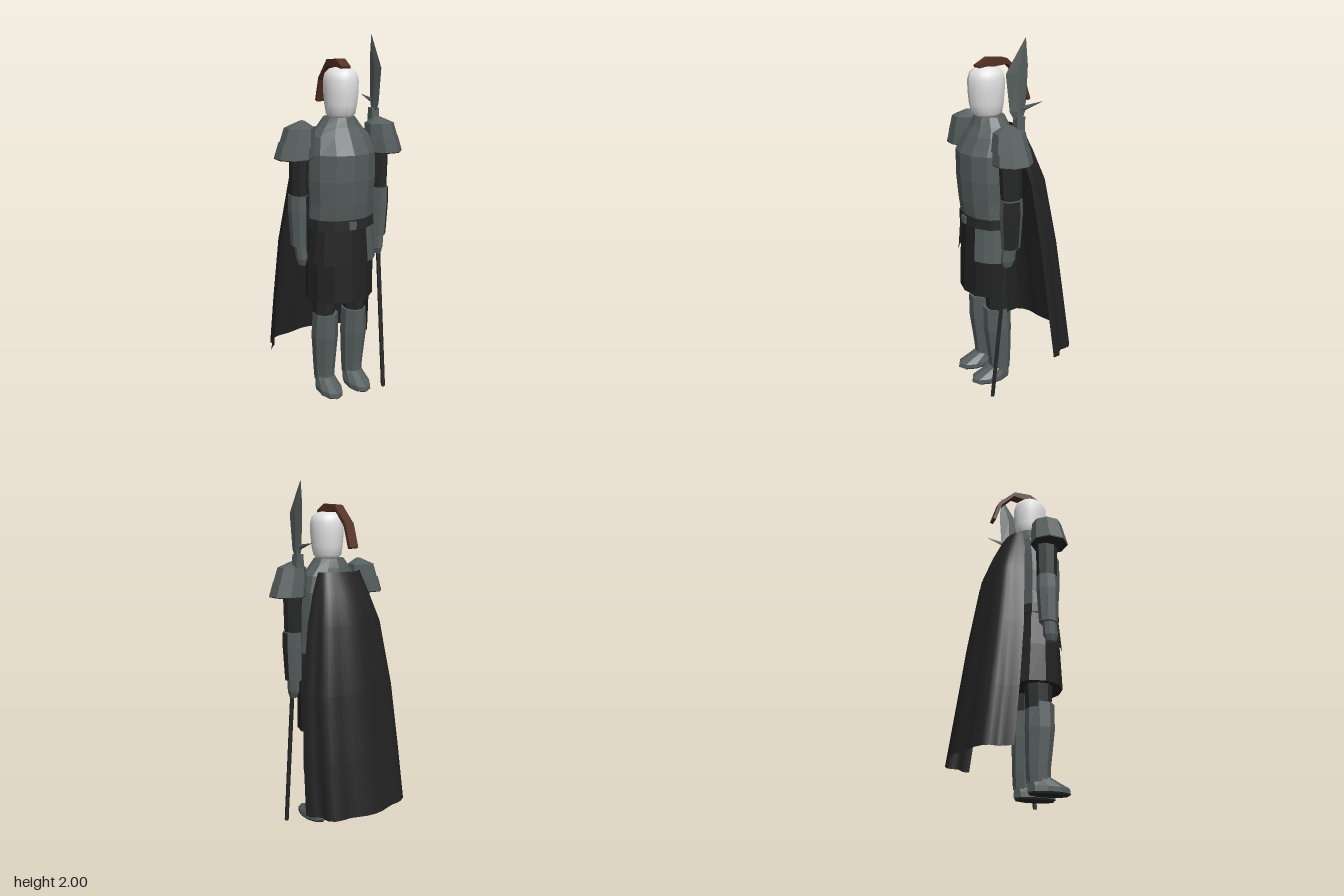
import * as THREE from 'three';

const mat = (name, color, side = THREE.FrontSide) => {
  const m = new THREE.MeshStandardMaterial({ color, side });
  m.name = name;
  return m;
};

// Lofted elliptical rings, listed bottom to top as [y, cx, cz, rx, rz]
function loft(rings, n = 8, { smooth = false, turn = 0, from = 0, to = Math.PI * 2, caps = true } = {}) {
  const pos = [], idx = [];
  for (const [y, cx, cz, rx, rz] of rings) {
    for (let i = 0; i <= n; i++) {
      const a = turn + from + ((to - from) * i) / n;
      pos.push(cx + rx * Math.sin(a), y, cz + rz * Math.cos(a));
    }
  }
  const w = n + 1;
  for (let r = 0; r < rings.length - 1; r++) {
    for (let i = 0; i < n; i++) {
      const a = r * w + i, b = a + 1, c = b + w, d = a + w;
      idx.push(a, b, c, a, c, d);
    }
  }
  if (caps) {
    const last = (rings.length - 1) * w;
    const [b, t] = [rings[0], rings[rings.length - 1]];
    const k = pos.length / 3;
    pos.push(b[1], b[0], b[2], t[1], t[0], t[2]);
    for (let i = 0; i < n; i++) idx.push(k, i + 1, i, k + 1, last + i, last + i + 1);
  }
  let g = new THREE.BufferGeometry();
  g.setAttribute('position', new THREE.Float32BufferAttribute(pos, 3));
  g.setIndex(idx);
  if (!smooth) g = g.toNonIndexed();
  g.computeVertexNormals();
  return g;
}

export function createModel() {
  const root = new THREE.Group();
  const steel = mat('steel', 0x555d5d);
  const dark = mat('dark leather', 0x262727);
  const cloth = mat('black cloth', 0x222222, THREE.DoubleSide);
  const plate = mat('hip plate steel', 0x555d5d, THREE.DoubleSide);
  const pale = mat('pale helm', 0xe2e2e2);
  const brown = mat('brown crest', 0x542f23);

  const add = (name, geo, m, parent = root) => {
    const mesh = new THREE.Mesh(geo, m);
    mesh.name = name;
    parent.add(mesh);
    return mesh;
  };

  // Body armour, from waist to collar
  add('breastplate', loft([
    [1.03, 0, 0.15, 0.185, 0.135], [1.13, 0, 0.155, 0.182, 0.145],
    [1.26, 0, 0.16, 0.19, 0.15], [1.4, 0, 0.157, 0.187, 0.153],
    [1.49, 0, 0.14, 0.165, 0.12], [1.535, 0, 0.13, 0.125, 0.1],
    [1.585, 0, 0.13, 0.085, 0.08],
  ], 12), steel);
  add('neck', loft([[1.56, 0, 0.14, 0.06, 0.06], [1.63, 0, 0.14, 0.06, 0.06]], 10), dark);

  // Skirt, belt and hip plates
  add('skirt', loft([
    [0.59, 0, 0.135, 0.195, 0.17], [0.8, 0, 0.14, 0.195, 0.155], [1.02, 0, 0.145, 0.18, 0.137],
  ], 12), cloth);
  add('belt', loft([[0.995, 0, 0.147, 0.195, 0.148], [1.05, 0, 0.147, 0.193, 0.146]], 12), dark);
  const buckle = add('buckle', new THREE.BoxGeometry(0.04, 0.042, 0.012), steel);
  buckle.position.set(0, 1.022, 0.296);
  for (const s of [-1, 1]) {
    const mid = s * 0.98;
    add(s > 0 ? 'leftHipPlate' : 'rightHipPlate', loft([
      [0.805, 0, 0.14, 0.208, 0.167], [0.995, 0, 0.145, 0.19, 0.147],
    ], 3, { from: mid - 0.48, to: mid + 0.48, caps: false }), s > 0 ? plate : cloth);
  }

  // Head: smooth domed helm
  add('head', loft([
    [1.585, 0, 0.145, 0.06, 0.065], [1.6, 0, 0.145, 0.077, 0.083],
    [1.65, 0, 0.147, 0.085, 0.094], [1.72, 0, 0.147, 0.092, 0.1],
    [1.775, 0, 0.147, 0.093, 0.1], [1.81, 0, 0.147, 0.084, 0.09],
    [1.832, 0, 0.147, 0.06, 0.065], [1.842, 0, 0.147, 0.02, 0.022],
  ], 20, { smooth: true }), pale);

  // Crest: bent strip over the helm and down behind, drawn in (z, y)
  const crest = new THREE.Shape([
    [0.19, 1.815], [0.205, 1.845], [0.14, 1.882], [0.035, 1.875], [-0.067, 1.775],
    [-0.108, 1.65], [-0.09, 1.643], [-0.05, 1.762], [0.03, 1.845], [0.14, 1.835],
  ].map((p) => new THREE.Vector2(...p)));
  add('crest', new THREE.ExtrudeGeometry(crest, { depth: 0.056, bevelEnabled: false })
    .translate(0, 0, -0.028).rotateY(-Math.PI / 2), brown);

  // Arms and legs for each side
  for (const s of [-1, 1]) {
    const side = s > 0 ? 'left' : 'right';
    const arm = new THREE.Group();
    arm.name = side + 'Arm';
    const leg = new THREE.Group();
    leg.name = side + 'Leg';
    root.add(arm, leg);
    const X = (rings) => rings.map(([y, x, ...r]) => [y, s * x, ...r]);
    const turn = Math.PI / 8;

    add('pauldronCap', loft(X([
      [1.445, 0.252, 0.145, 0.096, 0.1], [1.54, 0.238, 0.145, 0.078, 0.085], [1.575, 0.222, 0.145, 0.012, 0.015],
    ]), 8, { turn }), steel, arm);
    add('pauldronFlare', loft(X([
      [1.385, 0.27, 0.142, 0.102, 0.107], [1.465, 0.256, 0.142, 0.09, 0.095],
    ]), 8, { turn }), steel, arm);
    add('pauldronLining', loft(X([
      [1.38, 0.27, 0.142, 0.1, 0.105], [1.386, 0.27, 0.142, 0.1, 0.105],
    ]), 8, { turn }), dark, arm);
    add('upperArm', loft(X([
      [1.16, 0.243, 0.135, 0.046, 0.058], [1.4, 0.24, 0.14, 0.05, 0.064],
    ]), 8, { turn }), dark, arm);
    add('forearm', loft(X([
      [0.905, 0.242, 0.138, 0.045, 0.053], [1.1, 0.246, 0.137, 0.052, 0.064], [1.185, 0.246, 0.137, 0.05, 0.062],
    ]), 8, { turn }), steel, arm);
    // Leather strap panel on the forearm
    add('forearmPanel', loft(X([
      [0.91, 0.242, 0.138, 0.047, 0.055], [1.1, 0.246, 0.137, 0.054, 0.066], [1.18, 0.246, 0.137, 0.052, 0.064],
    ]), 2, { from: turn, to: turn + Math.PI / 2, caps: false }), dark, arm);
    add('hand', loft(X([
      [0.8, 0.235, 0.155, 0.02, 0.028], [0.835, 0.235, 0.152, 0.031, 0.042], [0.92, 0.24, 0.145, 0.033, 0.04],
    ]), 8, { turn }), steel, arm);

    add('thigh', loft(X([
      [0.46, 0.095, 0.135, 0.06, 0.07], [0.7, 0.095, 0.14, 0.075, 0.085],
    ]), 8, { turn }), dark, leg);
    add('greave', loft(X([
      [0.07, 0.09, 0.13, 0.056, 0.062], [0.15, 0.09, 0.13, 0.062, 0.066],
      [0.35, 0.092, 0.142, 0.075, 0.08], [0.49, 0.09, 0.145, 0.069, 0.08],
    ]), 8, { turn }), steel, leg);
    add('foot', loft(X([
      [0.025, 0.09, 0.19, 0.067, 0.122], [0.05, 0.09, 0.188, 0.067, 0.12],
      [0.075, 0.09, 0.16, 0.058, 0.09], [0.1, 0.09, 0.135, 0.052, 0.06],
    ]), 10), steel, leg);
    add('sole', loft(X([[0.015, 0.09, 0.185, 0.06, 0.112], [0.026, 0.09, 0.188, 0.065, 0.118]]), 10), dark, leg);
  }

  // Cape: rows of [y, half width, front z, back z], rippling more toward the hem
  const rows = [
    [1.515, 0.135, 0.04, -0.03], [1.4, 0.175, 0.035, -0.085], [1.235, 0.225, 0.01, -0.148],
    [0.865, 0.28, -0.02, -0.21], [0.5, 0.3, -0.055, -0.262], [0.19, 0.31, -0.09, -0.306],
  ];
  const n = 24, pos = [], idx = [];
  rows.forEach(([y, hw, zf, zb], r) => {
    const amp = 0.012 * (r / 5);
    for (let i = 0; i <= n; i++) {
      const t = (i / n) * Math.PI;
      const c = -Math.cos(t), k = 1 + (amp / 0.2) * Math.cos(t * 10 + 0.6);
      pos.push(hw * k * Math.sign(c) * Math.abs(c) ** 0.85, y, zf + (zb - zf) * Math.sin(t) ** 0.75 - amp * Math.cos(t * 8));
    }
    if (r) for (let i = 0; i < n; i++) {
      const a = (r - 1) * (n + 1) + i, d = a + n + 1;
      idx.push(a, a + 1, d, a + 1, d + 1, d);
    }
  });
  const cape = new THREE.BufferGeometry();
  cape.setAttribute('position', new THREE.Float32BufferAttribute(pos, 3));
  cape.setIndex(idx);
  cape.computeVertexNormals();
  add('cape', cape, cloth);

  // Polearm held in the left hand, leaning back
  const pole = new THREE.Group();
  pole.name = 'polearm';
  root.add(pole);
  const px = 0.235;
  add('shaft', loft([[0, px, 0.255, 0.012, 0.013], [1.58, px, 0.083, 0.012, 0.013]], 6), dark, pole);
  add('socket', loft([[1.54, px, 0.088, 0.034, 0.034], [1.615, px, 0.085, 0.03, 0.032]], 4, { turn: Math.PI / 4 }), steel, pole);
  add('blade', loft([
    [1.6, px, 0.09, 0.012, 0.025], [1.64, px, 0.095, 0.011, 0.045], [1.83, px, 0.1, 0.007, 0.062],
    [1.87, px, 0.087, 0.006, 0.05], [2, px, 0.05, 0.001, 0.001],
  ], 4), steel, pole);
  const spike = add('spike', new THREE.ConeGeometry(0.014, 0.13, 4).rotateX(-Math.PI / 2), steel, pole);
  spike.position.set(px, 1.665, 0.003);
  spike.rotation.x = 0.2;

  return root;
}
